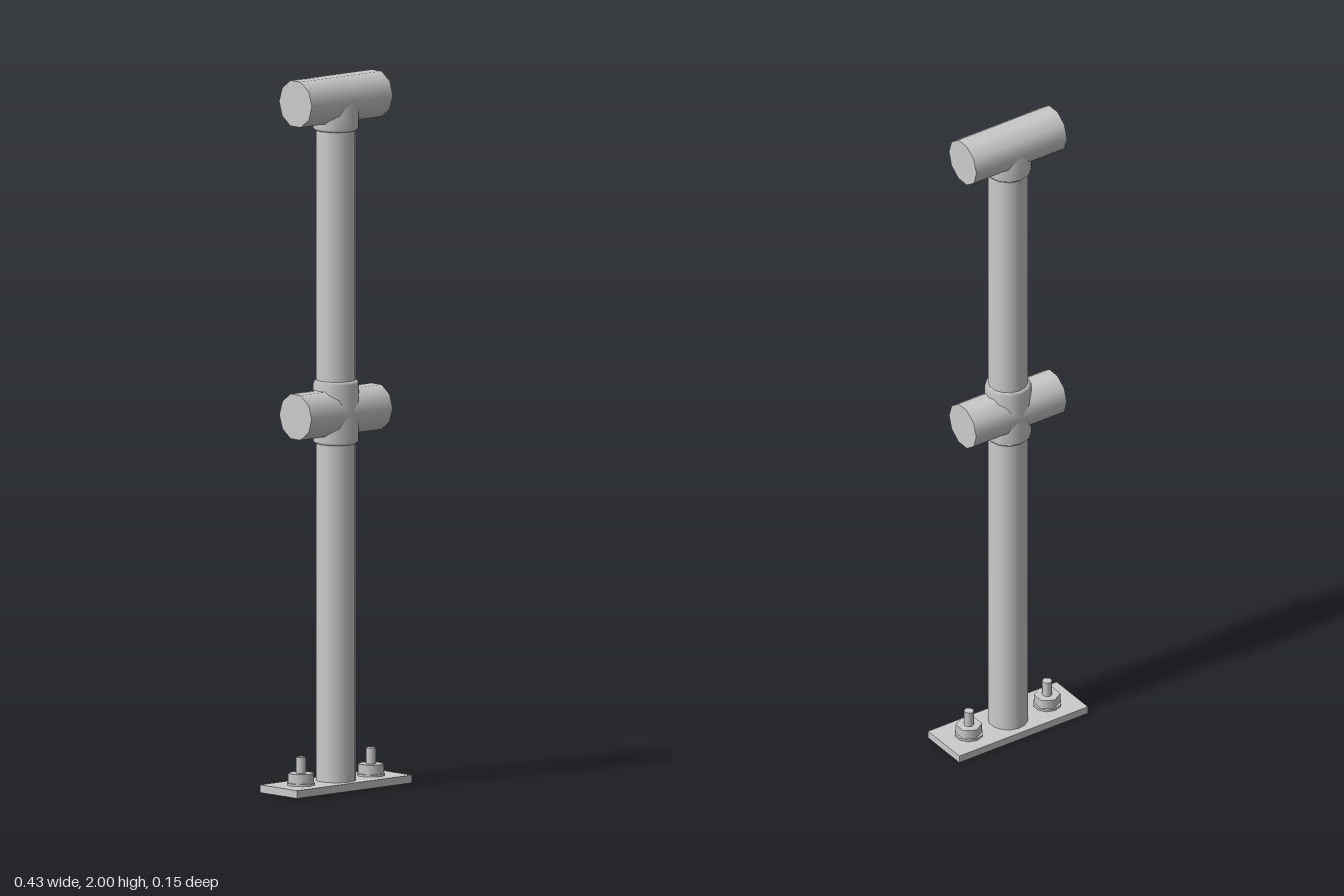
import * as THREE from 'three';

const grey = new THREE.MeshStandardMaterial({ color: 0xcccccc });

function add(parent, name, geometry, x = 0, y = 0, z = 0) {
  const mesh = new THREE.Mesh(geometry, grey);
  mesh.name = name;
  mesh.position.set(x, y, z);
  parent.add(mesh);
  return mesh;
}

// Upright cylinder between two heights
function upright(parent, name, radius, y0, y1, sides, x = 0) {
  return add(parent, name, new THREE.CylinderGeometry(radius, radius, y1 - y0, sides), x, (y0 + y1) / 2);
}

// Horizontal sleeve running along x
function sleeve(parent, name, radius, length, y) {
  const geometry = new THREE.CylinderGeometry(radius, radius, length, 10);
  geometry.rotateZ(Math.PI / 2);
  return add(parent, name, geometry, 0, y);
}

// Collar with slightly chamfered rims
function collar(parent, name, radius, y0, y1) {
  const c = 0.008;
  const points = [[0, y0], [radius - c, y0], [radius, y0 + c], [radius, y1 - c], [radius - c, y1], [0, y1]];
  const profile = points.map(([r, y]) => new THREE.Vector2(r, y));
  const geometry = new THREE.LatheGeometry(profile, 12);
  return add(parent, name, geometry);
}

export function createModel() {
  const model = new THREE.Group();
  model.name = 'railingPost';

  // Base plate and post
  add(model, 'basePlate', new THREE.BoxGeometry(0.434, 0.022, 0.152), 0, 0.011, 0);
  upright(model, 'post', 0.056, 0.02, 1.9, 14);

  // Cross fitting at mid height
  const cross = new THREE.Group();
  cross.name = 'crossFitting';
  collar(cross, 'crossCollar', 0.065, 0.967, 1.145);
  sleeve(cross, 'crossSleeve', 0.066, 0.306, 1.055);
  model.add(cross);

  // Tee fitting at the top
  const tee = new THREE.Group();
  tee.name = 'teeFitting';
  collar(tee, 'teeCollar', 0.065, 1.845, 1.935);
  sleeve(tee, 'teeSleeve', 0.067, 0.306, 1.933);
  model.add(tee);

  // Anchor bolts: washer, hexagonal nut and stud
  for (const side of [-1, 1]) {
    const bolt = new THREE.Group();
    bolt.name = side > 0 ? 'leftAnchorBolt' : 'rightAnchorBolt';
    upright(bolt, 'washer', 0.04, 0.02, 0.028, 10);
    upright(bolt, 'nut', 0.037, 0.028, 0.055, 6);
    upright(bolt, 'stud', 0.014, 0.05, 0.1, 8);
    bolt.position.x = side * 0.132;
    model.add(bolt);
  }
  return model;
}
